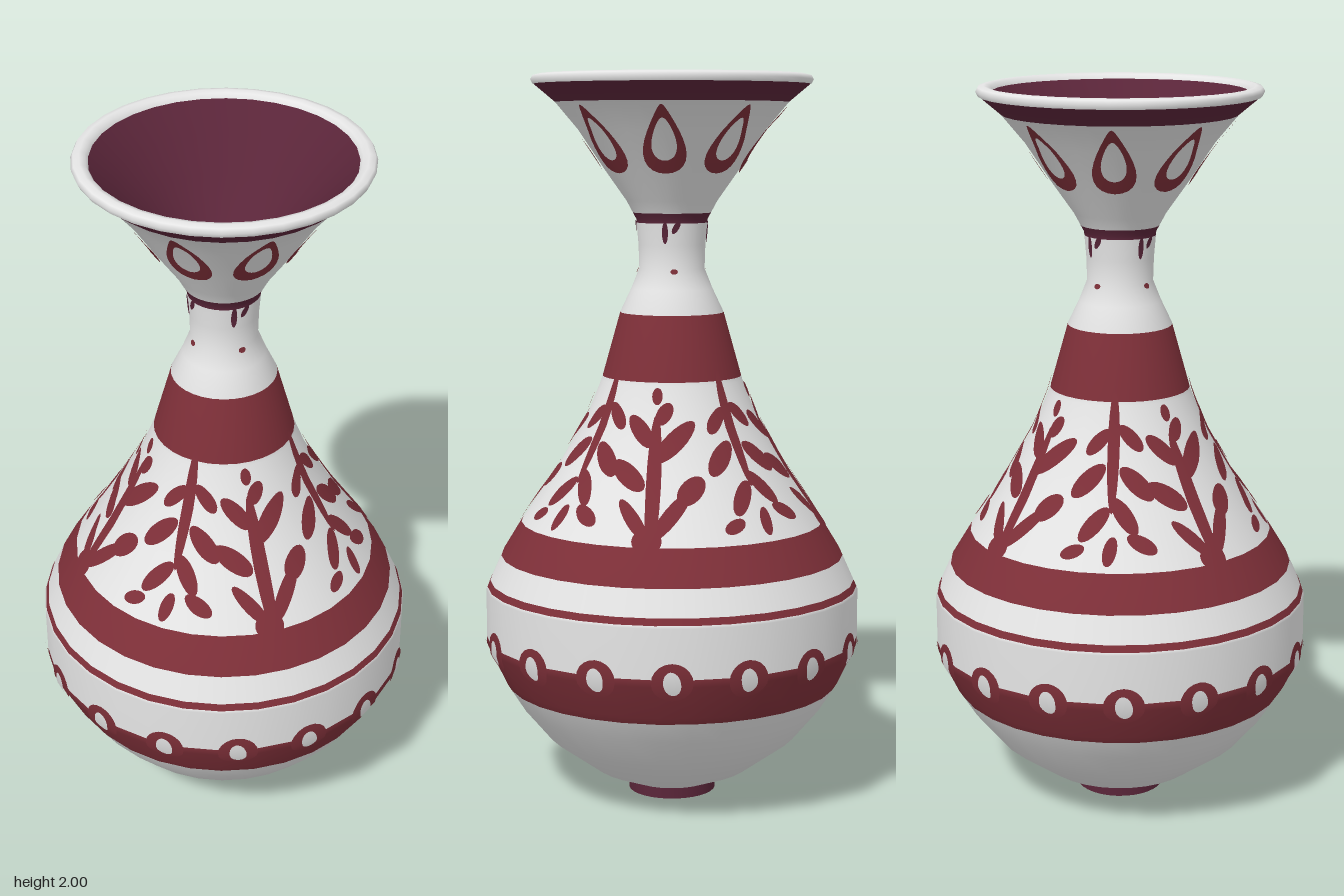
import * as THREE from 'three';
import { mergeGeometries } from 'three/addons/utils/BufferGeometryUtils.js';

const SIDES = 32;
const paint = (name, color, side = THREE.FrontSide) =>
  Object.assign(new THREE.MeshStandardMaterial({ color, side }), { name });

// Outer profile: radius, height
const PROFILE = [
  [0.122, 0.03], [0.22, 0.07], [0.35, 0.165], [0.425, 0.255], [0.475, 0.335], [0.52, 0.43],
  [0.52, 0.585], [0.475, 0.685], [0.42, 0.775], [0.315, 0.93], [0.235, 1.07], [0.195, 1.17],
  [0.143, 1.355], [0.112, 1.42], [0.09, 1.475], [0.092, 1.54], [0.098, 1.61], [0.125, 1.66],
  [0.185, 1.745], [0.255, 1.85], [0.318, 1.925], [0.378, 1.975],
];

function radiusAt(y) {
  let i = 1;
  while (i < PROFILE.length - 1 && PROFILE[i][1] < y) i++;
  const [r0, y0] = PROFILE[i - 1], [r1, y1] = PROFILE[i];
  return r0 + (r1 - r0) * THREE.MathUtils.clamp((y - y0) / (y1 - y0), 0, 1);
}

const lathe = (pts) =>
  new THREE.LatheGeometry(pts.map(([r, y]) => new THREE.Vector2(r, y)), SIDES);

// Flat oval (or ring) in the unrolled wall plane: x = arc length, y = height
function oval([u, y, halfLength, halfWidth, degrees], inner = 0.001) {
  return new THREE.RingGeometry(inner, 1, 20, 6)
    .scale(halfLength, halfWidth, 1)
    .rotateZ(THREE.MathUtils.degToRad(degrees))
    .translate(u, y, 0);
}

// Teardrop outline, narrow at the top
function teardrop(y, halfWidth, halfHeight) {
  const g = new THREE.RingGeometry(0.62, 1, 28, 2);
  const p = g.attributes.position;
  for (let i = 0; i < p.count; i++) p.setX(i, p.getX(i) * (1 - 0.6 * p.getY(i)));
  return g.scale(halfWidth, halfHeight, 1).translate(0, y, 0);
}

// Wrap a flat shape around the faceted wall at a given angle
function wrap(flat, angle, lift) {
  const g = flat.clone();
  const p = g.attributes.position, n = g.attributes.normal;
  const step = (2 * Math.PI) / SIDES;
  const v = new THREE.Vector3();
  for (let i = 0; i < p.count; i++) {
    const y = p.getY(i), r = radiusAt(y);
    const a = angle + p.getX(i) / r;
    const within = a - Math.floor(a / step) * step - step / 2;
    const R = (r * Math.cos(step / 2)) / Math.cos(within) + lift;
    p.setXYZ(i, R * Math.sin(a), y, R * Math.cos(a));
    const slope = (radiusAt(y + 0.05) - radiusAt(y - 0.05)) / 0.1;
    v.set(Math.sin(a), -slope, Math.cos(a)).normalize();
    n.setXYZ(i, v.x, v.y, v.z);
  }
  return g;
}

// Plants: [across, height, half length, half width, tilt in degrees]
const UPRIGHT = [
  [-0.02, 0.92, 0.18, 0.02, 90], [-0.03, 0.79, 0.04, 0.03, 0],
  [-0.07, 0.84, 0.06, 0.019, 130], [-0.09, 0.945, 0.055, 0.027, 145],
  [0.03, 0.85, 0.075, 0.021, 50], [0.08, 0.91, 0.042, 0.03, 40],
  [0.03, 1.03, 0.07, 0.026, 45], [-0.06, 1.055, 0.05, 0.023, 130],
  [0.0, 1.1, 0.032, 0.02, 60], [-0.02, 1.145, 0.022, 0.014, 90],
];
const HANGING = [
  [0, 1.06, 0.15, 0.016, 90], [-0.04, 1.08, 0.045, 0.018, 45], [0.045, 1.09, 0.045, 0.018, -45],
  [-0.065, 0.985, 0.06, 0.023, 42], [0.065, 0.98, 0.06, 0.023, -40],
  [0.035, 0.905, 0.055, 0.021, -50], [-0.045, 0.885, 0.055, 0.021, 45],
  [0.085, 0.84, 0.045, 0.018, -25], [-0.1, 0.82, 0.035, 0.015, 20],
  [0, 0.825, 0.035, 0.018, 75],
];

export function createModel() {
  const white = paint('glazeWhite', 0xe4e4e4);
  const red = paint('brickRed', 0x7d2f38);
  const plum = paint('darkPlum', 0x5a2539);
  const vase = new THREE.Group();
  vase.name = 'vase';
  const add = (name, geometry, material) => {
    const mesh = new THREE.Mesh(geometry, material);
    mesh.name = name;
    vase.add(mesh);
  };

  // Wall in painted bands, each listed with its top height
  const bands = [
    ['lowerBelly', 0.315, white], ['scallopBand', 0.45, red], ['bellyBand', 0.592, white],
    ['thinLine', 0.61, red], ['upperBelly', 0.68, white], ['shoulderBand', 0.775, red],
    ['plantBand', 1.18, white], ['collarBand', 1.355, red], ['neck', 1.6, white],
    ['neckRing', 1.627, plum], ['flare', 1.925, white], ['flareEdge', 1.975, plum],
  ];
  const heights = [...new Set([...PROFILE.map((q) => q[1]), ...bands.map((b) => b[1])])]
    .sort((a, b) => a - b);
  const wall = lathe(heights.map((y) => [radiusAt(y), y]));
  const rows = heights.length - 1;
  const index = Array.from(wall.index.array);
  let bottom = 0;
  for (const [name, top, material] of bands) {
    const part = wall.clone();
    part.setIndex(index.filter((_, k) => {
      const row = Math.floor(k / 6) % rows;
      return heights[row] >= bottom && heights[row + 1] <= top;
    }));
    add(name, part, material);
    bottom = top;
  }

  // Foot, base, lip and inside
  add('foot', lathe([[0.122, 0], [0.122, 0.036]]), plum);
  add('base', lathe([[0, 0], [0.122, 0]]), white);
  add('lip', lathe([[0.378, 1.973], [0.384, 1.985], [0.378, 1.996], [0.362, 2], [0.347, 1.996],
    [0.34, 1.983]]), white);
  add('inside', lathe([[0.34, 1.984], [0.275, 1.915], [0.205, 1.835], [0.13, 1.755], [0.065, 1.705],
    [0, 1.685]]), plum);

  // Painted ornaments repeated around the wall
  const repeat = (name, flats, count, phase, lift, material) => {
    const parts = [];
    for (let i = 0; i < count; i++)
      for (const flat of flats) parts.push(wrap(flat, phase + (i * 2 * Math.PI) / count, lift));
    add(name, mergeGeometries(parts), material);
  };
  repeat('scallops', [oval([0, 0.442, 0.055, 0.052, 0])], 16, 0.09, 0.004, red);
  repeat('scallopHoles', [oval([0, 0.44, 0.033, 0.023, 100])], 16, 0.09, 0.008, white);
  repeat('uprightPlants', UPRIGHT.map((l) => oval(l)), 4, 0, 0.005, red);
  repeat('hangingPlants', HANGING.map((l) => oval(l)), 4, Math.PI / 4, 0.005, red);
  repeat('teardrops', [teardrop(1.825, 0.05, 0.09)], 8, 0, 0.006, red);
  repeat('neckDrips', [oval([-0.01, 1.575, 0.03, 0.008, 90]), oval([0.02, 1.59, 0.02, 0.008, 60])],
    4, 0, 0.003, plum);
  repeat('neckDots', [oval([0, 1.47, 0.01, 0.007, 0])], 4, 0.15, 0.003, red);

  return vase;
}
